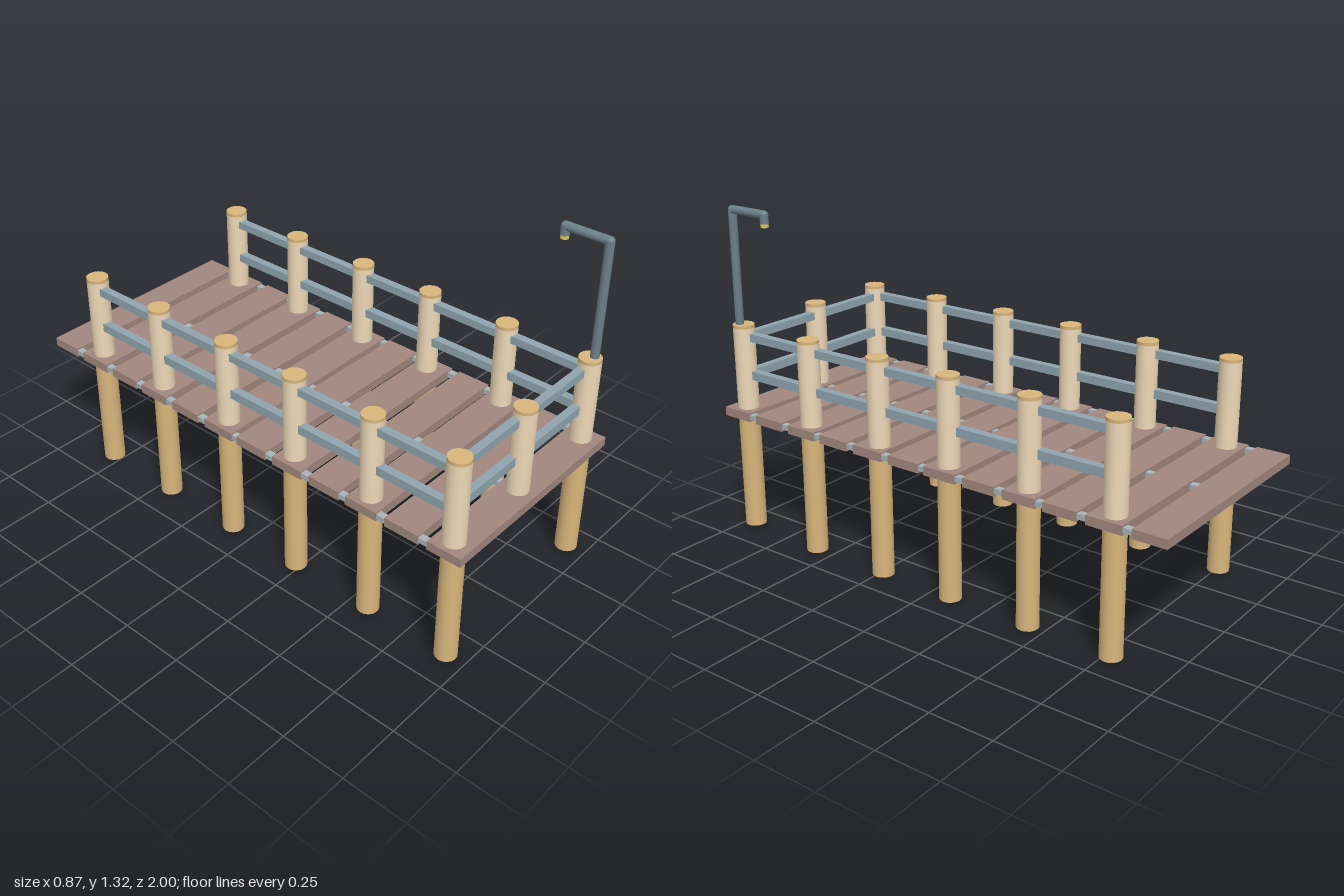
import * as THREE from 'three';

const paint = (color) => new THREE.MeshStandardMaterial({ color });

export function createModel() {
  const pier = new THREE.Group();
  pier.name = 'pier';
  const plankMat = paint(0xa1887f), railMat = paint(0x90a4ae), clipMat = paint(0xa9b4b9);
  const woodMat = paint(0xd9b67c), paleMat = paint(0xeed9b8);
  const lampMat = paint(0x6c7f88), bulbMat = paint(0xd8c860);

  const add = (name, geometry, material, x, y, z, parent = pier) => {
    const mesh = new THREE.Mesh(geometry, material);
    mesh.name = name;
    mesh.position.set(x, y, z);
    parent.add(mesh);
    return mesh;
  };
  const box = (name, mat, x0, x1, y0, y1, z0, z1) =>
    add(name, new THREE.BoxGeometry(x1 - x0, y1 - y0, z1 - z0), mat,
      (x0 + x1) / 2, (y0 + y1) / 2, (z0 + z1) / 2);

  // Deck planks
  const planks = [
    [-1, -0.87], [-0.835, -0.695], [-0.66, -0.525], [-0.495, -0.36],
    [-0.325, -0.19], [-0.155, -0.015], [0.01, 0.15], [0.185, 0.32],
    [0.355, 0.49], [0.52, 0.655], [0.69, 0.83], [0.865, 1],
  ];
  planks.forEach(([z0, z1]) => box('plank', plankMat, -0.438, 0.435, 0.485, 0.52, z0, z1));

  // Small clips bridging the gaps between planks
  for (let i = 0; i < planks.length - 1; i++) {
    const z0 = planks[i][1] - 0.004, z1 = planks[i + 1][0] + 0.004;
    for (const x of [-0.424, -0.013, 0.419])
      box('plankClip', clipMat, x - 0.013, x + 0.013, 0.494, 0.514, z0, z1);
  }

  // Posts: plain wood below the deck, pale sides with a wood cap above it
  const R = 0.042, TOP = 0.86, DECK = 0.5, CAP = 0.012;
  const post = (x, z, bottom) => {
    const g = new THREE.Group();
    g.name = 'post';
    g.position.set(x, 0, z);
    const section = (name, y0, y1, mat) =>
      add(name, new THREE.CylinderGeometry(R, R, y1 - y0, 16), mat, 0, (y0 + y1) / 2, 0, g);
    if (bottom < DECK) section('postLower', bottom, DECK, woodMat);
    section('postUpper', DECK, TOP - CAP, paleMat);
    section('postCap', TOP - CAP, TOP, woodMat);
    pier.add(g);
  };
  const LEFT = 0.376, RIGHT = -0.379, FRONT = 0.93;
  for (const z of [FRONT, 0.585, 0.24, -0.085, -0.43, -0.773]) {
    post(RIGHT, z, 0.02);
    post(LEFT, z, z === FRONT ? 0.02 : 0);
  }
  post(-0.018, FRONT, DECK);

  // Two rails along each side and across the front
  for (const [y0, y1] of [[0.796, 0.827], [0.64, 0.674]]) {
    for (const x of [-0.385, 0.369])
      box('sideRail', railMat, x - 0.016, x + 0.016, y0, y1, -0.773, FRONT);
    box('frontRail', railMat, RIGHT, LEFT, y0, y1, 0.905, 0.936);
  }

  // Lamp: upright pole, arm reaching back, short drop with a bulb
  const LX = 0.386, LY = 1.307, PZ = 0.94, TZ = 0.77, r = 0.0165;
  const rod = (name, length, mat, y, z, radius = r) =>
    add(name, new THREE.CylinderGeometry(radius, radius, length, 16), mat, LX, y, z);
  rod('lampPole', LY - 0.84, lampMat, (LY + 0.84) / 2, PZ);
  rod('lampArm', PZ - TZ, lampMat, LY, (PZ + TZ) / 2).rotation.x = Math.PI / 2;
  rod('lampHead', LY - 1.274, lampMat, (LY + 1.274) / 2, TZ);
  rod('lampBulb', 0.014, bulbMat, 1.267, TZ, 0.0155);
  for (const z of [PZ, TZ])
    add('lampElbow', new THREE.SphereGeometry(r, 16, 12), lampMat, LX, LY, z);

  return pier;
}
